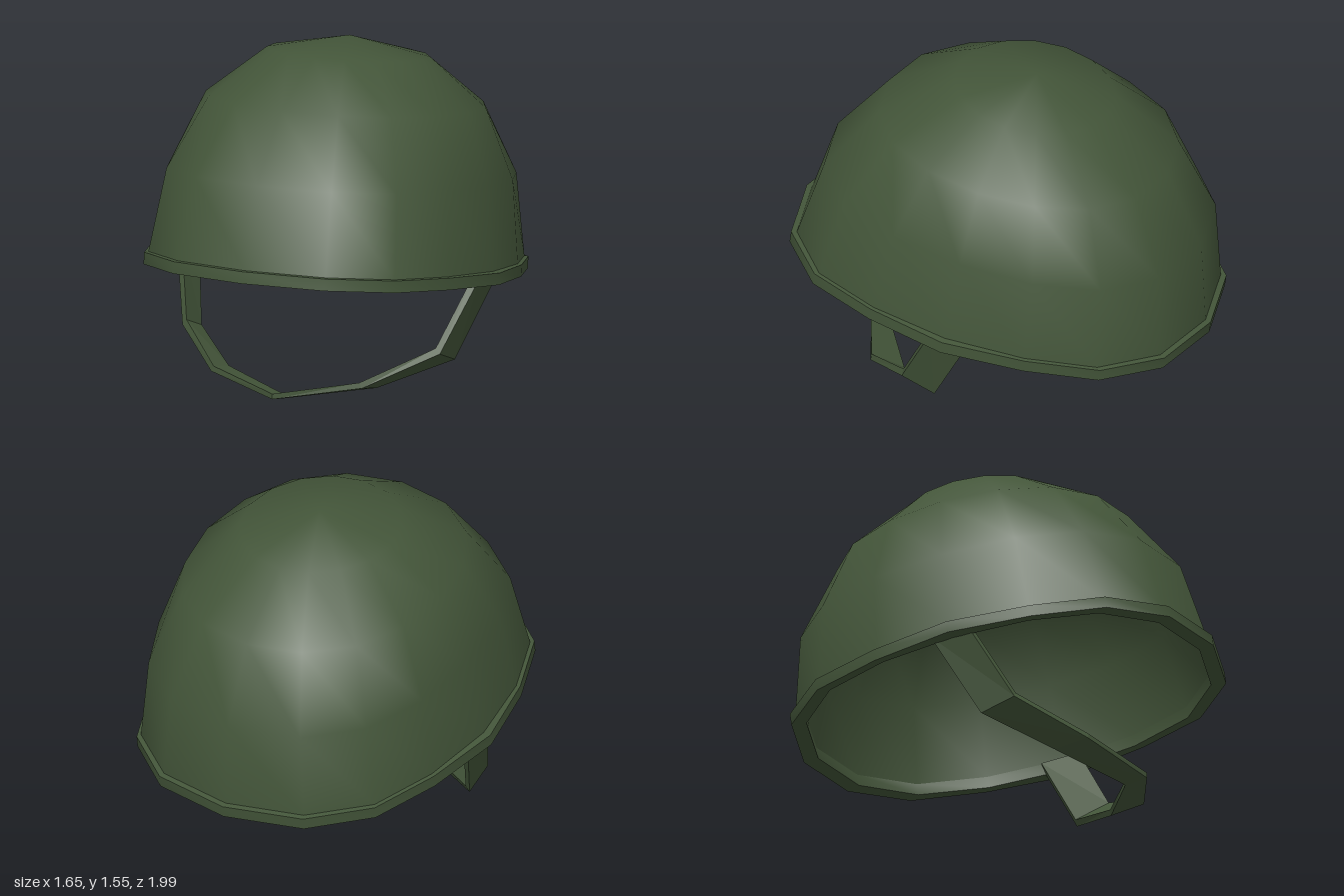
import * as THREE from 'three';
import { toCreasedNormals } from 'three/addons/utils/BufferGeometryUtils.js';

// Flattens the sides: maps a round radius to the narrower half width
const KNOTS = [[0, 0], [0.38, 0.38], [0.695, 0.628], [0.91, 0.745], [0.974, 0.79], [1, 0.825]];
function narrow(x) {
  const a = Math.min(Math.abs(x), 1);
  for (let i = 1; i < KNOTS.length; i++) {
    const [x0, y0] = KNOTS[i - 1], [x1, y1] = KNOTS[i];
    if (a <= x1 + 1e-6) return Math.sign(x) * (y0 + (y1 - y0) * (a - x0) / (x1 - x0));
  }
  return x;
}

// Sixteen-sided turned form with narrowed sides
function shell(profile, crease) {
  const g = new THREE.LatheGeometry(profile.map(([r, y]) => new THREE.Vector2(r, y)), 16);
  const p = g.attributes.position;
  for (let i = 0; i < p.count; i++) p.setX(i, narrow(p.getX(i)));
  g.deleteAttribute('normal');
  g.deleteAttribute('uv');
  return toCreasedNormals(g, crease);
}

function domeProfile(radius, height, rings) {
  const pts = [];
  for (let i = 0; i <= rings; i++) {
    const t = i / rings * Math.PI / 2;
    pts.push([i === rings ? 0 : radius * Math.cos(t), height * Math.sin(t)]);
  }
  return pts;
}

// Thin band swept through stations of [x, front y, front z, back y, back z]
function strapGeometry() {
  const half = [
    [0.765, 0.54, 0.076, 0.515, -0.105],
    [0.65, 0.21, 0.26, 0.15, 0.1],
    [0.38, 0.078, 0.52, 0.045, 0.36],
    [0, 0.02, 0.67, 0, 0.565],
  ];
  const mirrored = half.slice(0, 3).map(([x, ...rest]) => [-x, ...rest]);
  const stations = [...mirrored, ...half.slice().reverse()];
  const sections = stations.map(([x, fy, fz, by, bz]) => {
    const xi = x * 0.968, up = 0.025;
    return [[x, fy, fz], [x, by, bz], [xi, by + up, bz], [xi, fy + up, fz]];
  });
  const v = [];
  for (let i = 0; i < sections.length - 1; i++) {
    for (let j = 0; j < 4; j++) {
      const k = (j + 1) % 4;
      const a = sections[i][j], b = sections[i][k], c = sections[i + 1][j], d = sections[i + 1][k];
      v.push(...a, ...b, ...c, ...b, ...d, ...c);
    }
  }
  const g = new THREE.BufferGeometry();
  g.setAttribute('position', new THREE.Float32BufferAttribute(v, 3));
  g.computeVertexNormals();
  return g;
}

export function createModel() {
  const model = new THREE.Group();
  model.name = 'helmet';
  const green = new THREE.MeshStandardMaterial({ color: 0x435539 });
  green.name = 'olive green';

  const add = (parent, name, geometry) => {
    const mesh = new THREE.Mesh(geometry, green);
    mesh.name = name;
    parent.add(mesh);
  };

  // Bowl tilted up at the front
  const bowl = new THREE.Group();
  bowl.name = 'bowl';
  bowl.position.set(0, 0.55, -0.006);
  bowl.rotation.x = -0.139;
  model.add(bowl);
  add(bowl, 'outerDome', shell(domeProfile(0.974, 1.008, 4), 0.9));
  add(bowl, 'innerDome', shell(domeProfile(0.93, 0.95, 4).reverse(), 0.9));
  add(bowl, 'rim', shell([[0.93, 0], [0.93, -0.055], [1, -0.055], [1, 0], [0.965, 0.004]], 0.7));

  // Chin strap hanging forward
  add(model, 'chinStrap', strapGeometry());
  return model;
}
